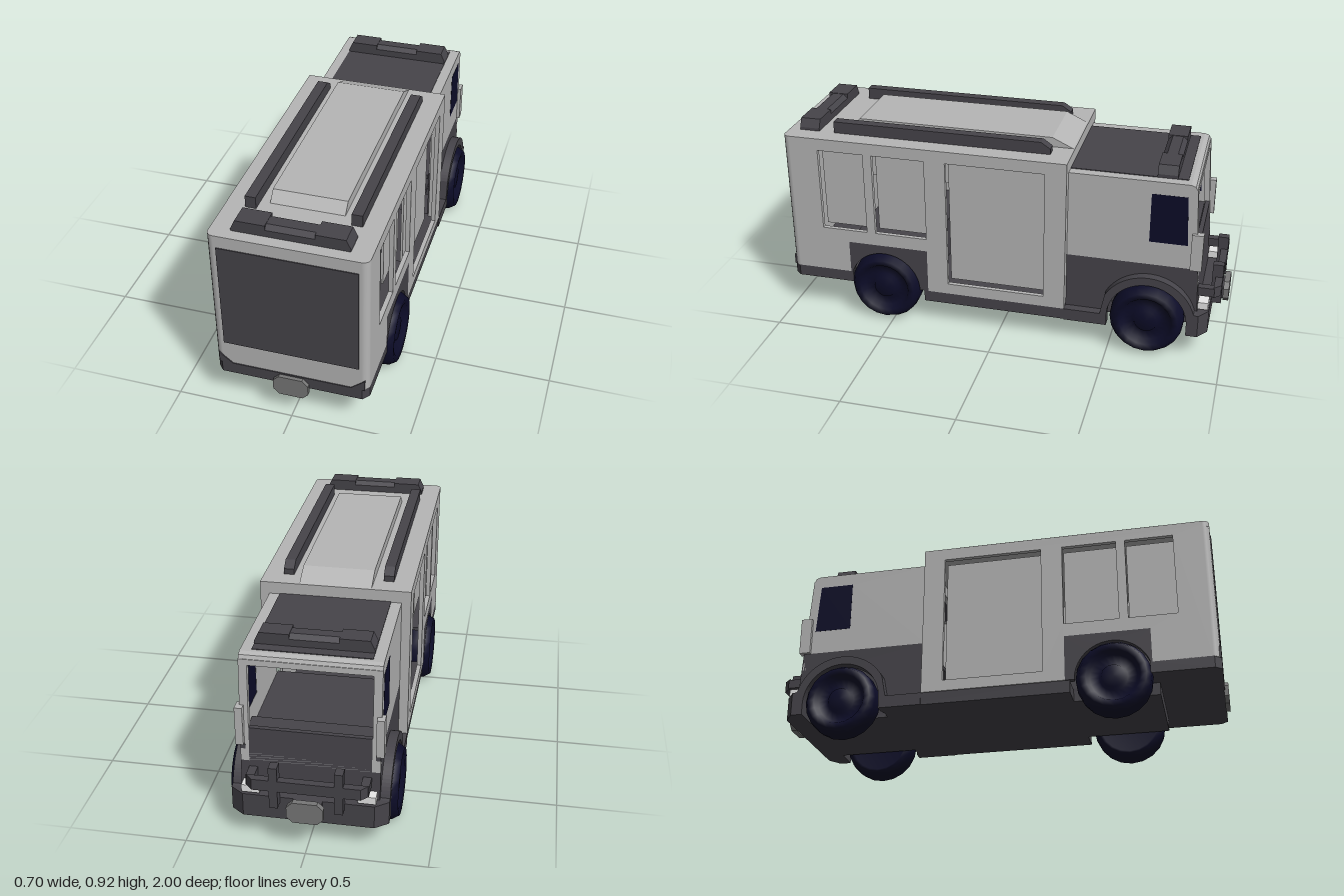
import * as THREE from 'three';

const mat = (name, color) => Object.assign(new THREE.MeshStandardMaterial({ color }), { name });

export function createModel() {
  const white = mat('bodyGrey', 0xb6b6b6);
  const dark = mat('trimCharcoal', 0x46444a);
  const navy = mat('tyreNavy', 0x0c0c28);
  const steel = mat('plateGrey', 0x777777);
  const lamp = mat('lampWhite', 0xe8e8e8);
  const model = new THREE.Group();
  model.name = 'utilityTruck';

  const add = (name, geo, m, parent = model) => {
    const mesh = new THREE.Mesh(geo, m);
    mesh.name = name;
    parent.add(mesh);
    return mesh;
  };
  // Box given by its limits on each axis
  const box = (name, m, x0, x1, y0, y1, z0, z1) => add(name,
    new THREE.BoxGeometry(x1 - x0, y1 - y0, z1 - z0)
      .translate((x0 + x1) / 2, (y0 + y1) / 2, (z0 + z1) / 2), m);
  const poly = pts => new THREE.Shape(pts.map(p => new THREE.Vector2(p[0], p[1])));
  const rect = (a0, a1, b0, b1) => poly([[a0, b0], [a1, b0], [a1, b1], [a0, b1]]);
  const extrude = (shape, depth) => new THREE.ExtrudeGeometry(shape, { depth, bevelEnabled: false, curveSegments: 16 });
  // Profile in (z, y), swept from x0 to x1
  const alongX = (name, m, shape, x0, x1) =>
    add(name, extrude(shape, x1 - x0).rotateY(-Math.PI / 2).translate(x1, 0, 0), m);
  // Footprint in (x, z), raised from y0 to y1
  const alongY = (name, m, shape, y0, y1) =>
    add(name, extrude(shape, y1 - y0).rotateX(Math.PI / 2).translate(0, y1, 0), m);
  // Profile in (x, y), swept from z0 to z1
  const alongZ = (name, m, shape, z0, z1) => add(name, extrude(shape, z1 - z0).translate(0, 0, z0), m);
  // Runs a sideways sweep on both flanks
  const flanks = (name, m, shape, x0, x1) => {
    alongX('left' + name, m, shape, x0, x1);
    alongX('right' + name, m, shape, -x1, -x0);
  };
  const pair = (name, m, x0, x1, y0, y1, z0, z1) => {
    box('left' + name, m, x0, x1, y0, y1, z0, z1);
    box('right' + name, m, -x1, -x0, y0, y1, z0, z1);
  };

  const REAR = 0.535, FRONT = -0.665;

  // Equipment body: side walls with locker openings and set-back shutters
  const wall = poly([[-0.3, 0.165], [0.33, 0.165], [0.33, 0.37], [0.7, 0.37], [0.7, 0.215],
    [0.95, 0.215], [0.95, 0.85], [-0.3, 0.85]]);
  const lockers = [[0.61, 0.82, 0.43, 0.81], [0.33, 0.57, 0.43, 0.81], [-0.205, 0.235, 0.215, 0.81]];
  for (const l of lockers) wall.holes.push(rect(...l));
  flanks('BodyWall', white, wall, 0.305, 0.325);
  for (const l of lockers) flanks('LockerShutter', white, rect(...l), 0.262, 0.272);

  // Body roof, rounded rear corners and rear wall
  const roof = new THREE.Shape();
  roof.moveTo(-0.325, -0.3);
  roof.lineTo(0.325, -0.3);
  roof.lineTo(0.325, 0.95);
  roof.absarc(0.295, 0.95, 0.03, 0, Math.PI / 2, false);
  roof.lineTo(-0.295, 0.98);
  roof.absarc(-0.295, 0.95, 0.03, Math.PI / 2, Math.PI, false);
  alongY('bodyRoof', white, roof, 0.84, 0.865);
  box('rearWall', white, -0.295, 0.295, 0.215, 0.84, 0.955, 0.98);
  for (const s of [-1, 1]) {
    add('rearCorner', new THREE.CylinderGeometry(0.03, 0.03, 0.625, 16)
      .translate(s * 0.295, 0.5275, 0.95), white);
    alongZ('rearCornerGuard', dark, s > 0 ? poly([[0.25, 0.215], [0.31, 0.215], [0.31, 0.265]])
      : poly([[-0.25, 0.215], [-0.31, 0.265], [-0.31, 0.215]]), 0.975, 0.984);
  }
  box('rearShutter', dark, -0.285, 0.285, 0.325, 0.81, 0.978, 0.984);
  box('frontLintel', white, -0.325, 0.325, 0.79, 0.845, -0.3, -0.28);
  pair('FrontFlange', white, 0.275, 0.324, 0.165, 0.8, -0.3, -0.28);

  // Roof hump and side rails
  alongX('roofHump', white, poly([[-0.295, 0.864], [0.72, 0.864], [0.68, 0.908], [-0.2, 0.908]]), -0.155, 0.155);
  flanks('RoofRail', dark, poly([[-0.21, 0.864], [0.77, 0.864], [0.77, 0.917], [-0.17, 0.917], [-0.21, 0.89]]), 0.195, 0.24);

  // Light bars with a lower middle section
  const lightBar = (name, y, z, d) => {
    const end = poly([[0.1, y], [0.24, y], [0.24, y + 0.012], [0.222, y + 0.05], [0.1, y + 0.05]]);
    const other = poly([[-0.1, y], [-0.1, y + 0.05], [-0.222, y + 0.05], [-0.24, y + 0.012], [-0.24, y]]);
    alongZ(name + 'LeftEnd', dark, end, z - d, z + d);
    alongZ(name + 'RightEnd', dark, other, z - d, z + d);
    alongX(name + 'Middle', dark, poly([[z - d, y], [z + d, y], [z + d, y + 0.03], [z + d - 0.02, y + 0.048],
      [z - d + 0.02, y + 0.048], [z - d, y + 0.03]]), -0.1, 0.1);
  };
  lightBar('rearLightBar', 0.865, 0.885, 0.045);
  lightBar('cabLightBar', 0.815, -0.712, 0.043);

  // Cab sides: pale upper wall with window, dark lower wall with wheel opening
  const windowPts = [[-0.655, 0.53], [-0.655, 0.755], [-0.806, 0.755], [-0.82, 0.53]];
  const upper = poly([[-0.3, 0.42], [-0.3, 0.812], [-0.815, 0.812], [-0.843, 0.79], [-0.868, 0.42]]);
  upper.holes.push(poly(windowPts));
  flanks('CabSide', white, upper, 0.265, 0.285);
  flanks('CabWindow', navy, poly(windowPts), 0.266, 0.286);

  const lower = new THREE.Shape();
  lower.moveTo(-0.3, 0.11);
  lower.lineTo(-0.3, 0.42);
  lower.lineTo(-0.868, 0.42);
  lower.lineTo(-0.88, 0.165);
  lower.lineTo(FRONT - 0.18, 0.165);
  lower.absarc(FRONT, 0.165, 0.18, Math.PI, 0, true);
  lower.lineTo(FRONT + 0.18, 0.11);
  flanks('CabLowerSide', dark, lower, 0.265, 0.285);

  // Fender arch running into the entry step
  const fender = new THREE.Shape();
  fender.moveTo(-0.3, 0.11);
  fender.lineTo(-0.3, 0.165);
  fender.lineTo(-0.46, 0.165);
  fender.absarc(FRONT, 0.16, 0.212, 0.5, Math.PI - 0.28, false);
  fender.lineTo(-0.88, 0.215);
  fender.lineTo(-0.88, 0.11);
  fender.lineTo(FRONT - 0.175, 0.11);
  fender.absarc(FRONT, 0.16, 0.175, Math.PI, 0, true);
  fender.lineTo(FRONT + 0.175, 0.11);
  flanks('Fender', dark, fender, 0.28, 0.325);

  // Cab roof and sloping front with open windscreen
  box('cabRoof', dark, -0.24, 0.24, 0.79, 0.815, -0.8, -0.3);
  pair('RoofEdge', white, 0.24, 0.27, 0.79, 0.812, -0.8, -0.3);
  alongX('roofBrow', white, poly([[-0.8, 0.77], [-0.8, 0.812], [-0.815, 0.812], [-0.835, 0.805], [-0.844, 0.785],
    [-0.845, 0.77]]), -0.285, 0.285);
  const lean = geo => {
    const p = geo.attributes.position;
    for (let i = 0; i < p.count; i++) p.setZ(i, p.getZ(i) - 0.88 + (p.getY(i) - 0.22) * 0.062);
    geo.computeVertexNormals();
    return geo;
  };
  const frame = rect(-0.285, 0.285, 0.34, 0.79);
  frame.holes.push(rect(-0.25, 0.25, 0.38, 0.765));
  add('windscreenFrame', lean(extrude(frame, 0.025)), white);
  add('frontPanel', lean(extrude(rect(-0.25, 0.25, 0.34, 0.49), 0.02)), dark);
  add('lowerFrontPanel', lean(extrude(rect(-0.285, 0.285, 0.16, 0.34), 0.02)), dark);
  box('dashboard', dark, -0.26, 0.26, 0.4, 0.48, -0.84, -0.76);
  box('cabFloor', dark, -0.265, 0.265, 0.4, 0.42, -0.85, -0.28);
  pair('Mirror', white, 0.268, 0.3, 0.42, 0.59, -0.885, -0.835);

  // Chassis, narrow between the wheels
  box('chassisSpine', dark, -0.215, 0.215, 0.11, 0.17, -0.9, 0.72);
  box('chassisMiddle', dark, -0.32, 0.32, 0.11, 0.165, -0.48, 0.35);
  box('bodyFloor', dark, -0.305, 0.305, 0.165, 0.18, -0.3, 0.33);
  box('frontWheelHousing', dark, -0.21, 0.21, 0.16, 0.4, -0.86, -0.46);
  box('rearWheelHousing', dark, -0.21, 0.21, 0.16, 0.37, 0.33, 0.7);
  box('rearWheelLid', dark, -0.305, 0.305, 0.355, 0.37, 0.33, 0.7);

  // Dark rear wheel surround
  const surround = new THREE.Shape();
  surround.moveTo(0.33, 0.165);
  surround.lineTo(REAR - 0.17, 0.165);
  surround.absarc(REAR, 0.165, 0.165, Math.PI, 0, true);
  surround.lineTo(0.7, 0.37);
  surround.lineTo(0.33, 0.37);
  flanks('WheelSurround', dark, surround, 0.3, 0.325);

  // Bumpers
  const rearBumper = poly([[-0.325, 0.69], [0.325, 0.69], [0.325, 0.955], [0.3, 0.984], [-0.3, 0.984], [-0.325, 0.955]]);
  alongY('rearBumper', dark, rearBumper, 0.165, 0.217);
  const frontBumper = poly([[-0.325, -0.84], [-0.325, -0.89], [-0.27, -0.93], [0.27, -0.93], [0.325, -0.89], [0.325, -0.84]]);
  alongY('frontBumper', dark, frontBumper, 0.11, 0.215);

  // Front guard bar, uprights and lamps
  alongY('guardBar', dark, poly([[-0.25, -0.94], [-0.22, -0.972], [0.22, -0.972], [0.25, -0.94]]), 0.27, 0.32);
  pair('GuardArm', dark, 0.215, 0.25, 0.275, 0.315, -0.945, -0.865);
  pair('GuardUpright', dark, 0.115, 0.15, 0.19, 0.38, -0.972, -0.925);
  pair('Headlamp', lamp, 0.2, 0.275, 0.222, 0.255, -0.925, -0.88);

  // Eight-sided plates at both ends
  const plate = y => poly([[-0.05, y], [0.05, y], [0.075, y + 0.025], [0.075, y + 0.07], [0.05, y + 0.095],
    [-0.05, y + 0.095], [-0.075, y + 0.07], [-0.075, y + 0.025]]);
  alongZ('rearPlate', steel, plate(0.115), 0.98, 1);
  alongZ('frontPlate', steel, plate(0.15), -1, -0.975);
  box('frontPlateBracket', dark, -0.06, 0.06, 0.165, 0.215, -0.976, -0.92);

  // Wheels: chamfered tyre with dished rim and hub, turned around x
  const profile = [[0, -0.055], [0.13, -0.055], [0.142, -0.065], [0.16, -0.035], [0.163, 0], [0.16, 0.035],
    [0.142, 0.065], [0.115, 0.06], [0.1, 0.035], [0.06, 0.03], [0.05, 0.05], [0, 0.05]];
  const tyre = new THREE.LatheGeometry(profile.map(p => new THREE.Vector2(...p)), 20).rotateZ(-Math.PI / 2);
  for (const [end, z] of [['front', FRONT], ['rear', REAR]])
    for (const s of [-1, 1]) {
      const wheel = add(end + (s > 0 ? 'Left' : 'Right') + 'Wheel', tyre, navy);
      wheel.position.set(s * 0.285, 0.163, z);
      if (s < 0) wheel.rotation.y = Math.PI;
    }
  return model;
}
